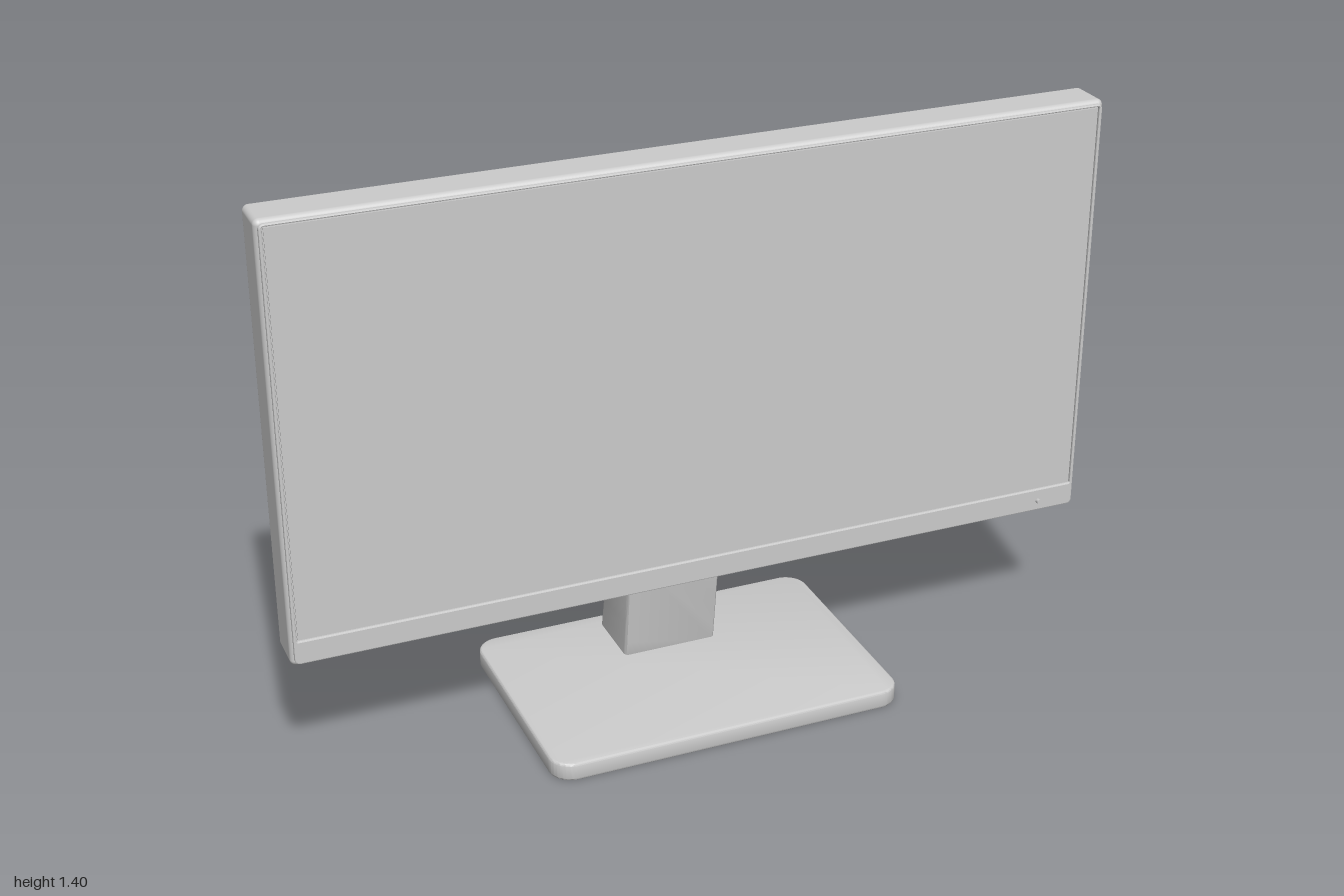
import * as THREE from 'three';
import { toCreasedNormals } from 'three/addons/utils/BufferGeometryUtils.js';
import { RoundedBoxGeometry } from 'three/addons/geometries/RoundedBoxGeometry.js';

const material = new THREE.MeshStandardMaterial({ color: 0xcccccc });
const { smoothstep, lerp } = THREE.MathUtils;
const STAND_X = -0.007;
const BOTTOM = 0.345, TOP = 1.393, HALF = 0.993;

function part(group, name, geometry, x = 0, y = 0, z = 0) {
  const mesh = new THREE.Mesh(geometry, material);
  mesh.name = name;
  mesh.position.set(x, y, z);
  group.add(mesh);
  return mesh;
}

// Rounded rectangle outline given by its edges
function roundedRect(x0, y0, x1, y1, r, Type = THREE.Shape) {
  const s = new Type();
  s.absarc(x1 - r, y0 + r, r, -Math.PI / 2, 0);
  s.absarc(x1 - r, y1 - r, r, 0, Math.PI / 2);
  s.absarc(x0 + r, y1 - r, r, Math.PI / 2, Math.PI);
  s.absarc(x0 + r, y0 + r, r, Math.PI, Math.PI * 1.5);
  s.closePath();
  return s;
}

// Bulge of the rear cover before the scoop and the recess are taken out
function bulge(x, y) {
  const u = Math.min(1, Math.abs(x) / HALF);
  const across = 0.4 * (1 - u ** 12) + 0.6 * (1 - u * u) ** 1.4;
  const drop = 0.15 + 0.85 * smoothstep(u, 0.45, 0.92);
  const up = y > 0.85
    ? 1 - ((y - 0.85) / (TOP - 0.85)) ** 2.66
    : 1 - drop * ((0.85 - y) / (0.85 - BOTTOM)) ** 2.66;
  return 0.108 * across * up;
}

// Rear cover: rows follow the scoop's arc and the bell-shaped edge of the recess
function rearCover() {
  const columns = 112;
  const position = [], index = [];
  let rows = 0;
  for (let i = 0; i <= columns; i++) {
    const s = (i / columns) * 2 - 1;
    const x = HALF * (0.6 * s + 0.4 * Math.sin(s * Math.PI / 2));
    const u = Math.abs(x);
    const arc = BOTTOM + 0.004 + 0.152 * Math.max(0, 1 - (u / 0.83) ** 2);
    const bell = 0.54 + 0.33 * (1 - smoothstep(u, 0.08, 0.42));
    const step = 0.028 * (1 - smoothstep(u, 0.14, 0.42));
    const inner = bell - 0.01;
    const sunk = (y) => bulge(x, y) - step * lerp(0.3, 1, (y - arc) / (inner - arc));
    const column = [];
    for (let k = 0; k < 8; k++) {
      column.push([lerp(BOTTOM, arc, k / 8), sunk(arc) * k / 8]);
    }
    for (let k = 0; k <= 16; k++) {
      const y = lerp(arc, inner, k / 16);
      column.push([y, sunk(y)]);
    }
    for (let k = 0; k <= 28; k++) {
      const y = lerp(bell, TOP, k / 28);
      column.push([y, bulge(x, y)]);
    }
    rows = column.length;
    column.forEach(([y, d]) => position.push(x, y, 0.006 - d));
  }
  for (let i = 0; i < columns; i++) {
    for (let j = 0; j < rows - 1; j++) {
      const a = i * rows + j, b = a + rows;
      index.push(a, a + 1, b, b, a + 1, b + 1);
    }
  }
  const g = new THREE.BufferGeometry();
  g.setAttribute('position', new THREE.Float32BufferAttribute(position, 3));
  g.setIndex(index);
  return toCreasedNormals(g, 0.33);
}

// Leaning column with a round cable hole; its depth follows the height
function standColumn() {
  const w = 0.12, y0 = 0.03, y1 = 0.662, n = 12;
  const points = [];
  for (let k = 0; k <= n; k++) points.push(new THREE.Vector2(w, lerp(y0, y1, k / n)));
  for (let k = n; k >= 0; k--) points.push(new THREE.Vector2(-w, lerp(y0, y1, k / n)));
  const shape = new THREE.Shape(points);
  const hole = new THREE.Path();
  hole.absarc(0, 0.395, 0.034, 0, Math.PI * 2, true);
  shape.holes.push(hole);
  const g = new THREE.ExtrudeGeometry(shape, {
    depth: 0.86, bevelThickness: 0.07, bevelSize: 0.009, bevelOffset: -0.009,
    bevelSegments: 3, curveSegments: 20,
  });
  const p = g.attributes.position;
  for (let i = 0; i < p.count; i++) {
    const y = p.getY(i), t = (p.getZ(i) + 0.07);
    const front = lerp(-0.095, -0.04, Math.min(1, (y - 0.04) / 0.4));
    const back = y < 0.42
      ? lerp(-0.266, -0.181, (y - 0.04) / 0.38)
      : lerp(-0.181, -0.145, (y - 0.42) / 0.24);
    p.setZ(i, lerp(back, front, t));
  }
  return toCreasedNormals(g, 0.5);
}

export function createModel() {
  const model = new THREE.Group();
  model.name = 'monitor';

  // Display housing
  const display = new THREE.Group();
  display.name = 'display';
  model.add(display);
  part(display, 'housing', new RoundedBoxGeometry(2, 1.06, 0.111, 4, 0.014), 0, 0.87, 0.0575);

  // Front bezel with an opening for the screen
  const bezel = roundedRect(-0.992, 0.348, 0.992, 1.392, 0.012);
  bezel.holes.push(roundedRect(-0.984, 0.406, 0.984, 1.386, 0.004, THREE.Path));
  part(display, 'bezel', new THREE.ExtrudeGeometry(bezel, {
    depth: 0.01, bevelThickness: 0.003, bevelSize: 0.003, bevelOffset: -0.003, bevelSegments: 2,
  }), 0, 0, 0.107);
  part(display, 'screen', new THREE.BoxGeometry(1.962, 0.974, 0.01), 0, 0.896, 0.111);

  // Power button on the lower bezel
  const button = new THREE.CylinderGeometry(0.006, 0.006, 0.014, 16);
  button.rotateX(Math.PI / 2);
  part(display, 'powerButton', button, 0.895, 0.374, 0.122);

  part(display, 'rearCover', rearCover());

  // Stand
  const stand = new THREE.Group();
  stand.name = 'stand';
  stand.position.x = STAND_X;
  model.add(stand);
  part(stand, 'mountPlate', new RoundedBoxGeometry(0.22, 0.36, 0.06, 3, 0.008), 0, 0.675, -0.056);
  part(stand, 'column', standColumn());

  // Flat base with rounded corners
  const base = new THREE.ExtrudeGeometry(roundedRect(-0.445, -0.302, 0.445, 0.302, 0.055), {
    depth: 0.033, bevelThickness: 0.006, bevelSize: 0.006, bevelOffset: -0.006,
    bevelSegments: 3, curveSegments: 12,
  });
  base.rotateX(-Math.PI / 2);
  part(stand, 'base', toCreasedNormals(base, 0.6), 0, 0.006, 0);

  return model;
}
